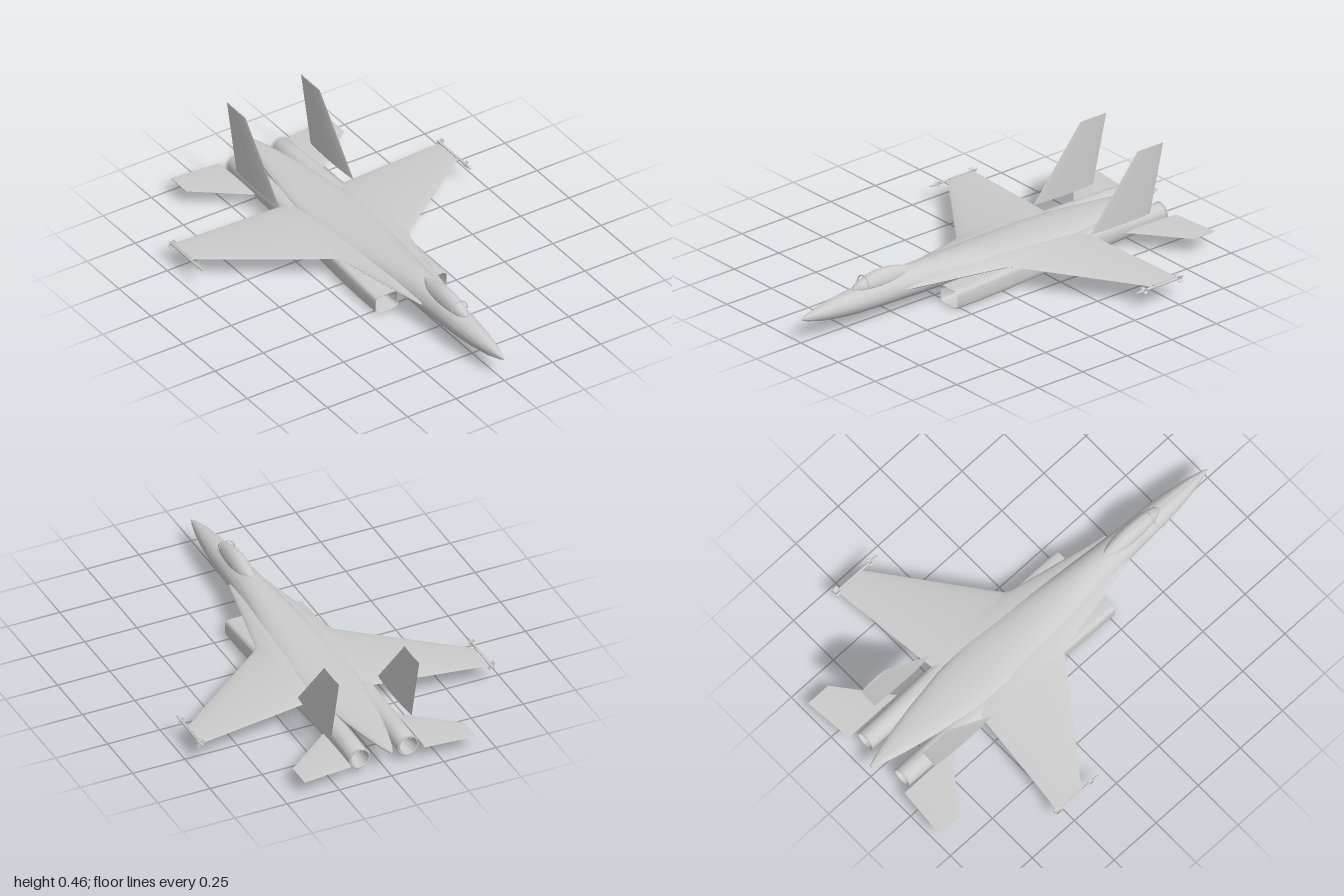
import * as THREE from 'three';
import { toCreasedNormals } from 'three/addons/utils/BufferGeometryUtils.js';

const grey = new THREE.MeshStandardMaterial({ color: 0xcccccc, side: THREE.DoubleSide });

function mesh(name, geometry, x = 0, y = 0, z = 0) {
  const m = new THREE.Mesh(geometry, grey);
  m.name = name;
  m.position.set(x, y, z);
  return m;
}

// Skin a list of equal-sized point rings and close both ends with fans.
function skin(rings, crease = 0.6) {
  const n = rings[0].length, pos = [], idx = [];
  rings.forEach(r => r.forEach(p => pos.push(...p)));
  for (let i = 0; i < rings.length - 1; i++) {
    for (let j = 0; j < n; j++) {
      const k = (j + 1) % n;
      const a = i * n + j, b = i * n + k, c = b + n, d = a + n;
      idx.push(a, d, b, b, d, c);
    }
  }
  [[0, 1], [rings.length - 1, -1]].forEach(([i, dir]) => {
    const centre = [0, 1, 2].map(k => rings[i].reduce((s, p) => s + p[k], 0) / n);
    const ci = pos.length / 3;
    pos.push(...centre);
    for (let j = 0; j < n; j++) {
      const a = i * n + j, b = i * n + (j + 1) % n;
      if (dir > 0) idx.push(ci, a, b); else idx.push(ci, b, a);
    }
  });
  const g = new THREE.BufferGeometry();
  g.setAttribute('position', new THREE.Float32BufferAttribute(pos, 3));
  g.setIndex(idx);
  g.computeVertexNormals();
  return toCreasedNormals(g, crease);
}

const signedPow = (v, e) => Math.sign(v) * Math.pow(Math.abs(v), e);

// Superellipse ring across z; e is the roundness exponent (2 = ellipse).
function hoop(z, cx, cy, hw, up, down, e = 2, n = 40) {
  return Array.from({ length: n }, (_, j) => {
    const t = j / n * Math.PI * 2, s = signedPow(Math.sin(t), 2 / e);
    return [cx + hw * signedPow(Math.cos(t), 2 / e), cy + s * (s > 0 ? up : down), z];
  });
}

// Lens-section surface; sections are [span, offset, leading z, trailing z, half thickness].
function surface(sections, upright = false, n = 28) {
  return skin(sections.map(([span, off, lead, trail, th]) =>
    Array.from({ length: n }, (_, j) => {
      const t = j / n * Math.PI * 2;
      const z = (lead + trail) / 2 + Math.cos(t) * (lead - trail) / 2;
      const h = th * signedPow(Math.sin(t), 1.4);
      return upright ? [off - h, span, z] : [span, off + h, z];
    })));
}

function fuselage() {
  // z, half width, top, bottom, height of widest line
  const sections = [
    [1, 0.001, 0.117, 0.113, 0.115], [0.97, 0.013, 0.128, 0.1, 0.115],
    [0.9, 0.03, 0.146, 0.08, 0.115], [0.8, 0.046, 0.16, 0.066, 0.115],
    [0.7, 0.057, 0.17, 0.058, 0.115], [0.55, 0.065, 0.181, 0.053, 0.116],
    [0.4, 0.075, 0.189, 0.053, 0.118], [0.2, 0.094, 0.183, 0.057, 0.121],
    [0, 0.115, 0.172, 0.065, 0.124], [-0.3, 0.135, 0.16, 0.08, 0.127],
    [-0.5, 0.116, 0.153, 0.09, 0.128], [-0.7, 0.084, 0.148, 0.1, 0.128],
    [-0.85, 0.052, 0.143, 0.108, 0.128], [-0.95, 0.026, 0.138, 0.115, 0.127],
    [-1, 0.006, 0.131, 0.122, 0.127]];
  return mesh('fuselage', skin(sections.map(([z, w, top, bottom, y]) =>
    hoop(z, 0, y, w, top - y, y - bottom))));
}

function canopy() {
  const g = new THREE.Group();
  g.name = 'canopy';
  // z, half width, top
  const sections = [[0.71, 0.003, 0.175], [0.695, 0.018, 0.187], [0.67, 0.028, 0.2],
    [0.63, 0.036, 0.213], [0.58, 0.04, 0.222], [0.54, 0.041, 0.224], [0.49, 0.04, 0.219],
    [0.44, 0.034, 0.206], [0.4, 0.022, 0.195], [0.38, 0.004, 0.189]];
  g.add(mesh('canopyGlass', skin(sections.map(([z, w, top]) =>
    hoop(z, 0, 0.168, w, top - 0.168, 0.01)))));
  const bow = mesh('canopyBow', new THREE.TorusGeometry(0.041, 0.0025, 8, 28, Math.PI), 0, 0.17, 0.65);
  bow.scale.y = 1.2;
  g.add(bow);
  return g;
}

function engine() {
  // Intake duct, lip, box-to-round nacelle, nozzle lip and nozzle bore in one skin:
  // z, centre x, centre y, half width, half height, roundness
  const sections = [
    [0.18, 0.126, 0.05, 0.045, 0.03, 5], [0.272, 0.126, 0.047, 0.056, 0.038, 5],
    [0.275, 0.126, 0.047, 0.06, 0.042, 5], [0.15, 0.126, 0.051, 0.06, 0.046, 5],
    [0, 0.125, 0.057, 0.059, 0.05, 4.5], [-0.2, 0.122, 0.066, 0.055, 0.053, 3.8],
    [-0.4, 0.119, 0.074, 0.052, 0.055, 3.1], [-0.6, 0.117, 0.079, 0.05, 0.054, 2.5],
    [-0.8, 0.116, 0.082, 0.049, 0.051, 2], [-0.915, 0.116, 0.082, 0.047, 0.048, 2],
    [-0.925, 0.116, 0.082, 0.041, 0.042, 2], [-0.84, 0.116, 0.082, 0.032, 0.033, 2]];
  const g = new THREE.Group();
  g.name = 'engine';
  g.add(mesh('nacelle', skin(sections.map(([z, x, y, w, h, e]) => hoop(z, x, y, w, h, h, e)))));
  g.add(mesh('nozzleRing', new THREE.TorusGeometry(0.046, 0.004, 8, 36), 0.116, 0.082, -0.922));
  return g;
}

function wingtipStore() {
  const g = new THREE.Group();
  g.name = 'wingtipMissile';
  g.add(mesh('launchRail', new THREE.BoxGeometry(0.008, 0.01, 0.15), -0.006, 0.003, -0.05));
  const profile = [[0, -0.13], [0.005, -0.13], [0.006, -0.125], [0.006, 0.105], [0.004, 0.122], [0, 0.13]];
  const body = mesh('missileBody', new THREE.LatheGeometry(
    profile.map(p => new THREE.Vector2(...p)), 14));
  body.rotation.x = Math.PI / 2;
  g.add(body);
  // Crossed tail fins and nose canards
  [[-0.115, 0.04, 0.026], [0.08, 0.032, 0.018]].forEach(([z, span, chord]) => {
    for (const turn of [1, -1]) {
      const fin = mesh('missileFins', new THREE.BoxGeometry(span, 0.002, chord), 0, 0, z);
      fin.rotation.z = turn * Math.PI / 4;
      g.add(fin);
    }
  });
  g.position.set(0.695, 0.097, -0.43);
  return g;
}

function side(name) {
  const g = new THREE.Group();
  g.name = name;
  // Wing with its leading-edge strake
  g.add(mesh('wing', surface([
    [0.03, 0.125, 0.5, -0.48, 0.03], [0.08, 0.125, 0.46, -0.485, 0.027],
    [0.13, 0.124, 0.22, -0.49, 0.021], [0.175, 0.122, 0.0, -0.495, 0.016],
    [0.19, 0.121, -0.03, -0.497, 0.015], [0.69, 0.098, -0.4, -0.545, 0.003]])));
  g.add(mesh('tailplane', surface([
    [0.175, 0.08, -0.68, -0.965, 0.006], [0.41, 0.08, -0.865, -0.985, 0.002]])));
  g.add(mesh('tailFin', surface([
    [0.142, 0.192, -0.465, -0.8, 0.008], [0.46, 0.192, -0.73, -0.875, 0.003]], true)));
  g.add(engine(), wingtipStore());
  return g;
}

export function createModel() {
  const model = new THREE.Group();
  model.name = 'jetAircraft';
  const left = side('leftSide'), right = side('rightSide');
  right.scale.x = -1;
  model.add(fuselage(), canopy(), left, right);
  return model;
}
